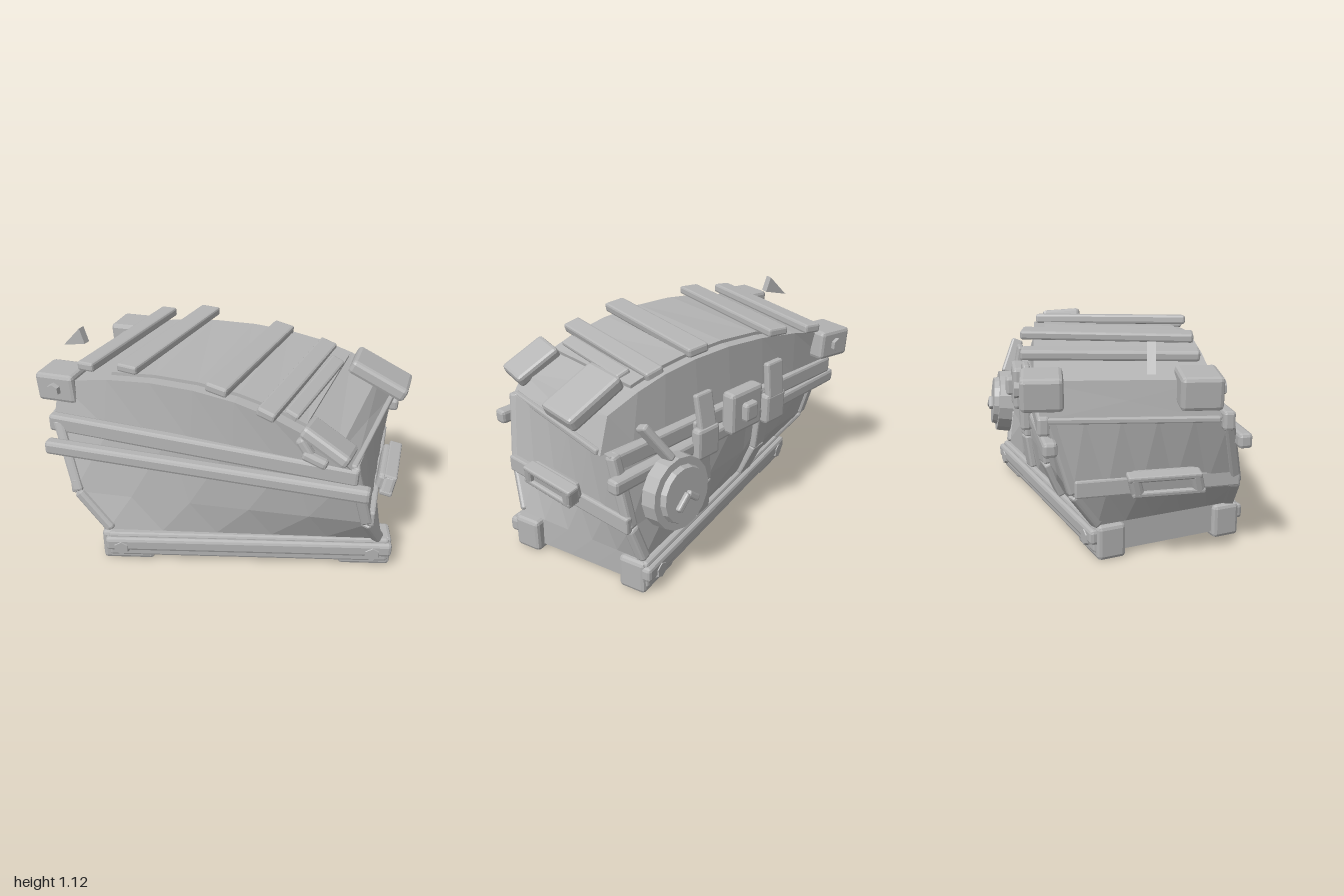
import * as THREE from 'three';
import { RoundedBoxGeometry } from 'three/addons/geometries/RoundedBoxGeometry.js';

const stone = new THREE.MeshStandardMaterial({ color: 0xb4b4b4, flatShading: true });
stone.name = 'plain grey';
const V = (x, y, z) => new THREE.Vector3(x, y, z);

export function createModel() {
  const model = new THREE.Group();

  const add = (name, geo, parent = model) => {
    const m = new THREE.Mesh(geo, stone);
    m.name = name;
    parent.add(m);
    return m;
  };
  // bevelled block at a position, with yaw applied first
  const block = (name, p, s, r = [0, 0, 0], parent = model) => {
    const m = add(name, new RoundedBoxGeometry(...s, 1, Math.min(0.02, Math.min(...s) * 0.3)), parent);
    m.position.set(...p);
    m.rotation.set(r[0], r[1], r[2], 'YXZ');
    return m;
  };
  // bevelled bar from a to b
  const beam = (name, a, b, w, h, parent = model) => {
    const m = add(name, new RoundedBoxGeometry(w, h, a.distanceTo(b), 1, Math.min(w, h) * 0.25), parent);
    m.position.copy(a).lerp(b, 0.5);
    m.quaternion.setFromRotationMatrix(
      new THREE.Matrix4().lookAt(b, a, Math.abs(b.y - a.y) > 0.9 * a.distanceTo(b) ? V(0, 0, 1) : V(0, 1, 0)));
    return m;
  };
  // skin over rings of points, closed at both ends
  const loft = (rings) => {
    const pos = [];
    const tri = (...t) => t.forEach((p) => pos.push(p.x, p.y, p.z));
    const n = rings[0].length;
    const mid = (r) => r.reduce((s, p) => s.add(p), V(0, 0, 0)).divideScalar(n);
    const first = rings[0], last = rings[rings.length - 1];
    const c0 = mid(first), c1 = mid(last);
    for (let j = 0; j < n; j++) {
      const k = (j + 1) % n;
      for (let i = 0; i + 1 < rings.length; i++) {
        const a = rings[i], b = rings[i + 1];
        tri(a[j], a[k], b[k], a[j], b[k], b[j]);
      }
      tri(c0, first[k], first[j]);
      tri(c1, last[j], last[k]);
    }
    const g = new THREE.BufferGeometry();
    g.setAttribute('position', new THREE.Float32BufferAttribute(pos, 3));
    g.computeVertexNormals();
    return g;
  };

  // twisted body: corner order front -x, front +x, back +x, back -x
  const level = (y, c) => c.map(([x, z]) => V(x, y, z));
  const levels = [
    level(0.03, [[-0.6, 0.48], [0.89, 0.38], [0.84, -0.4], [-0.65, -0.29]]),
    level(0.18, [[-0.6, 0.47], [0.88, 0.39], [0.85, -0.39], [-0.65, -0.3]]),
    level(0.37, [[-0.79, 0.40], [0.80, 0.51], [0.90, -0.35], [-0.69, -0.44]]),
    level(0.75, [[-0.9, 0.28], [0.70, 0.58], [0.92, -0.27], [-0.67, -0.55]]),
  ];
  const split = (ring) => ring.flatMap((p, i) =>
    [0, 1, 2, 3, 4].map((k) => p.clone().lerp(ring[(i + 1) % 4], k / 5)));
  add('body', loft(levels.map(split)));

  // corner trims on the body
  for (let c = 0; c < 4; c++) {
    for (let i = 1; i < 3; i++) {
      const ends = [levels[i], levels[i + 1]].map((r) => r[c].clone().lerp(r[(c + 2) % 4], 0.015));
      beam('cornerTrim', ends[0], ends[1], 0.06, 0.06);
    }
  }

  // arched lid, lofted from one end to the other
  const arch = [[0, -0.88, 0.93], [0.18, -0.6, 0.995], [0.33, -0.36, 1.025], [0.48, -0.13, 1.03],
    [0.62, 0.08, 1.01], [0.76, 0.26, 0.97], [0.88, 0.42, 0.91], [1, 0.59, 0.825]];
  const lidRing = ([t, x, y]) => {
    const bx = -0.91 + 1.59 * t, bz = 0.23 + 0.36 * t, z = 0.19 + 0.275 * (x + 0.88);
    return [V(bx, 0.735, bz), V(bx + 0.25, 0.745, bz - 0.81),
      V(x + 0.25, y + 0.08 * t * t, z - 0.79), V(x, y, z)];
  };
  const lidRings = arch.map(lidRing);
  add('lid', loft(lidRings));
  // raised panel on the lid top
  add('lidPanel', loft(lidRings.slice(1, 7).map((r) => {
    const a = r[3].clone().lerp(r[2], 0.07), b = r[3].clone().lerp(r[2], 0.93);
    const up = V(0.003, 0.018, 0);
    return [a, b, b.clone().add(up), a.clone().add(up)];
  })));
  // lip below the lid on both ends
  beam('lidLip', V(0.68, 0.745, 0.57), V(0.92, 0.755, -0.2), 0.03, 0.03);
  beam('lidLip', V(-0.91, 0.745, 0.22), V(-0.66, 0.745, -0.57), 0.03, 0.03);

  // boards across the lid: both ends, width, thickness, roll
  [[-0.73, 1.02, 0.19, -0.41, 1.02, -0.6, 0.1, 0.05, -0.08],
    [-0.49, 1.06, 0.27, -0.15, 1.07, -0.53, 0.12, 0.045, -0.04],
    [-0.01, 1.065, 0.45, 0.29, 1.07, -0.33, 0.12, 0.05, 0.12],
    [0.24, 1.0, 0.55, 0.54, 1.015, -0.25, 0.1, 0.05, 0.25],
    [0.36, 0.955, 0.47, 0.59, 0.985, -0.1, 0.08, 0.05, 0.35],
  ].forEach(([ax, ay, az, bx, by, bz, w, h, roll]) => {
    beam('lidBoard', V(ax, ay, az), V(bx, by, bz), w, h).rotateZ(roll);
  });

  // long rails under the lid, front and back
  beam('bodyRail', V(-0.93, 0.625, 0.35), V(0.77, 0.625, 0.62), 0.07, 0.075);
  beam('lidRail', V(-0.92, 0.73, 0.265), V(0.71, 0.7, 0.575), 0.06, 0.095);
  beam('bodyRail', V(-0.75, 0.625, -0.56), V(0.97, 0.625, -0.31), 0.07, 0.075);
  beam('lidRail', V(-0.68, 0.72, -0.57), V(0.89, 0.705, -0.26), 0.06, 0.095);

  // belts and framed handles on the two ends
  beam('endBelt', V(0.795, 0.4, 0.52), V(0.905, 0.4, -0.36), 0.04, 0.09);
  beam('endBelt', V(-0.79, 0.4, 0.4), V(-0.69, 0.4, -0.43), 0.04, 0.09);
  [[0.9, 0.465, 0.125, 1], [-0.83, 0.44, -0.02, -1]].forEach(([x, y, z, s]) => {
    const h = new THREE.Group();
    h.name = 'handle';
    h.position.set(x, y, z);
    h.rotation.set(0, -0.15, -s * 0.18, 'YXZ');
    block('handleBack', [-s * 0.01, 0, 0], [0.08, 0.1, 0.33], undefined, h);
    for (const d of [-1, 1]) {
      block('handleRail', [s * 0.015, d * 0.042, d * -0.012], [0.07, 0.03, 0.36], undefined, h);
      block('handleEnd', [s * 0.015, 0, d * 0.15], [0.07, 0.11, 0.06], [-0.25, 0, 0], h);
    }
    model.add(h);
  });

  // base feet and skirting, turned the other way from the lid
  const base = new THREE.Group();
  base.name = 'base';
  base.position.set(0.125, 0, 0.043);
  base.rotation.y = 0.07;
  model.add(base);
  for (const sz of [-1, 1]) {
    for (const sx of [-1, 1]) {
      block('foot', [sx * 0.645, 0.09, sz * 0.33], [0.28, 0.18, 0.15], undefined, base);
      const bolt = add('footBolt', new THREE.CylinderGeometry(0.04, 0.05, 0.02, 6), base);
      bolt.position.set(sx * 0.68, 0.1, sz * 0.435);
      bolt.rotation.x = sz * Math.PI / 2;
    }
    block('skirting', [0.01, 0.105, sz * 0.39], [1.52, 0.15, 0.05], undefined, base);
    block('baseRail', [0.01, 0.12, sz * 0.41], [1.55, 0.08, 0.06], undefined, base);
  }

  // lid corner caps with bolts
  [[-0.87, 0.895, 0.12, 0.23, 1], [-0.62, 0.885, -0.56, 0.22, -1]].forEach(([x, y, z, w, s]) => {
    const g = new THREE.Group();
    g.name = 'cornerCap';
    g.position.set(x, y, z);
    g.rotation.set(0, -0.27, 0.07, 'YXZ');
    block('cap', [0, 0, 0], [w, 0.16, 0.2], undefined, g);
    const b = add('capBolt', new THREE.CylinderGeometry(0.035, 0.04, 0.03, 6), g);
    b.position.set(0, 0, s * 0.11);
    b.rotation.x = Math.PI / 2;
    model.add(g);
  });
  block('cornerCap', [0.55, 0.885, 0.565], [0.27, 0.07, 0.18], [-0.15, -0.27, -0.48]);
  block('bentBracket', [0.44, 0.86, 0.585], [0.05, 0.11, 0.05], [0, -0.27, 0.6]);
  block('bentBracket', [0.49, 0.81, 0.61], [0.13, 0.05, 0.05], [0, -0.27, -0.3]);
  // loose cap lifting off the far corner
  block('looseCap', [0.82, 0.955, -0.035], [0.33, 0.08, 0.23], [-0.05, -0.2, -0.42]);

  // loose shard above the lid
  const tri = new THREE.Shape([[-0.08, -0.06], [0.07, -0.02], [0.04, 0.065]].map((p) => new THREE.Vector2(...p)));
  const shard = add('shard', new THREE.ExtrudeGeometry(tri, { depth: 0.04, bevelEnabled: false }));
  shard.position.set(-0.845, 1.05, -0.13);
  shard.rotation.y = -0.4;

  // straps on the back wall
  for (const u of [0.33, 0.65]) {
    const at = (i) => levels[i][3].clone().lerp(levels[i][2], u).add(V(0, 0, -0.015));
    for (let i = 1; i < 3; i++) beam('strap', at(i), at(i + 1), 0.11, 0.04);
  }
  block('strapClasp', [-0.14, 0.65, -0.52], [0.15, 0.17, 0.06], [0, -0.19, 0]);
  block('strapEnd', [-0.14, 0.81, -0.52], [0.12, 0.2, 0.04], [0.1, -0.19, 0]);
  block('strapClasp', [0.39, 0.65, -0.44], [0.15, 0.17, 0.06], [0, -0.19, 0]);
  block('strapEnd', [0.38, 0.79, -0.43], [0.11, 0.23, 0.035], [0.2, -0.19, 0]);
  block('bentStrap', [0.72, 0.77, -0.38], [0.04, 0.23, 0.07], [0.4, -0.19, -0.5]);

  // lock box
  const lock = new THREE.Group();
  lock.name = 'lock';
  lock.position.set(0.12, 0.735, -0.485);
  lock.rotation.y = -0.19;
  block('lockPlate', [0, 0, 0], [0.23, 0.23, 0.08], undefined, lock);
  block('lockKnob', [0, 0, -0.05], [0.09, 0.1, 0.05], undefined, lock);
  model.add(lock);

  // round dial with two raised bars
  const dial = new THREE.Group();
  dial.name = 'dial';
  dial.position.set(0.665, 0.505, -0.455);
  dial.rotation.set(-Math.PI / 2 + 0.1, -0.15, 0, 'YXZ');
  add('dialRim', new THREE.CylinderGeometry(0.185, 0.19, 0.08, 16), dial);
  add('dialFace', new THREE.CylinderGeometry(0.14, 0.15, 0.04, 16), dial).position.y = 0.05;
  block('dialBar', [0.035, 0.08, -0.02], [0.1, 0.03, 0.035], [0, 0.7, 0], dial);
  block('dialBar', [-0.03, 0.08, -0.01], [0.08, 0.03, 0.035], [0, -0.7, 0], dial);
  model.add(dial);

  return model;
}
